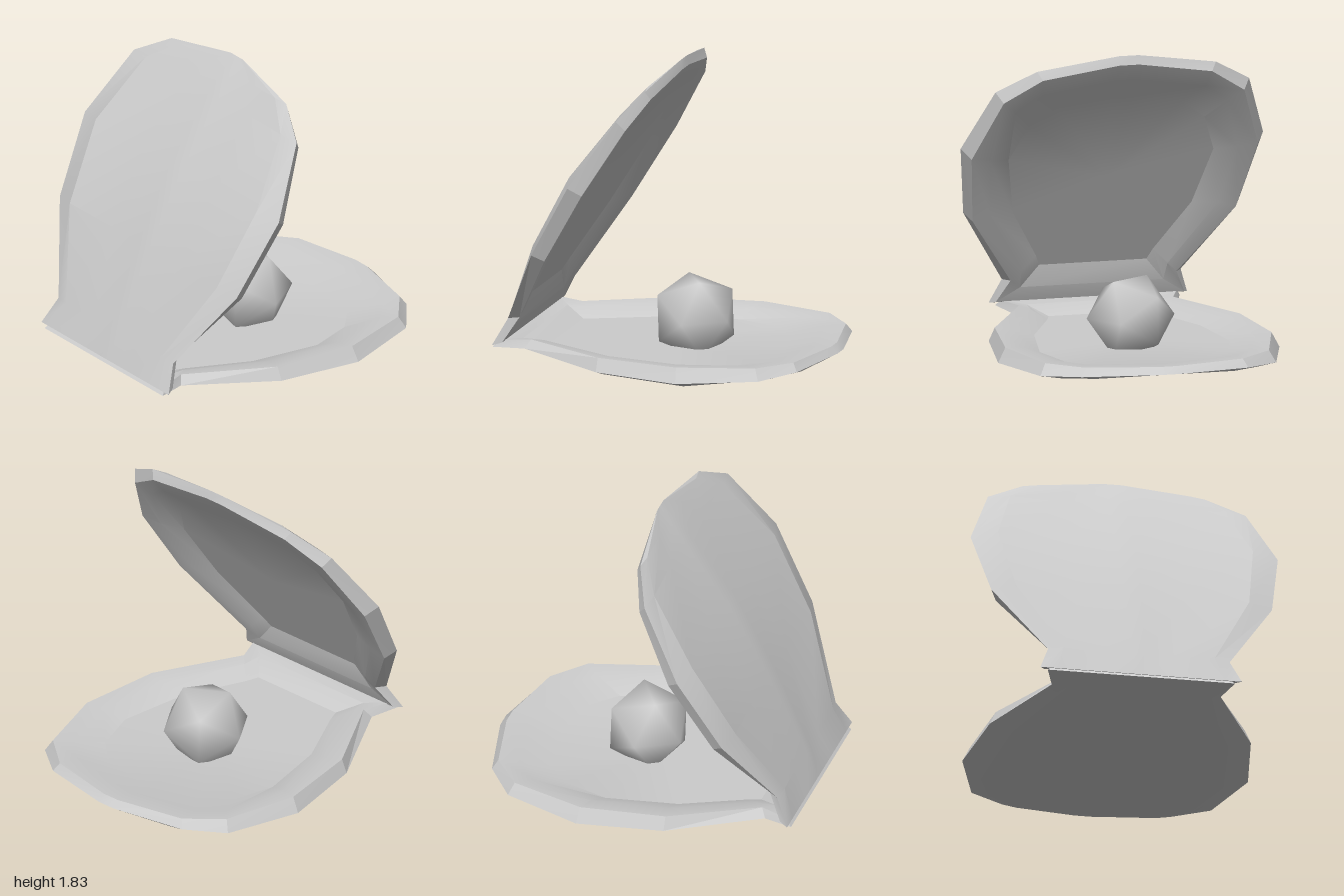
import * as THREE from 'three';
import { toCreasedNormals } from 'three/addons/utils/BufferGeometryUtils.js';

// Half outlines, hinge to tip: [distance from hinge, half width, height]
const EDGE = [[-0.02, 0.61, -0.04], [0.16, 0.55, -0.05], [0.70, 0.85, -0.08], [1.22, 0.93, -0.09],
  [1.69, 0.78, -0.07], [1.86, 0.55, -0.05], [1.96, 0.06, -0.04]];
const RIM = [[0.02, 0.58, 0], [0.19, 0.51, 0], [0.70, 0.81, 0], [1.21, 0.88, 0],
  [1.66, 0.74, 0], [1.83, 0.52, 0], [1.92, 0.06, 0]];
const LIP = [[0.12, 0.44, -0.012], [0.25, 0.45, -0.012], [0.73, 0.70, -0.012], [1.18, 0.76, -0.012],
  [1.57, 0.65, -0.012], [1.70, 0.50, -0.012], [1.78, 0.06, -0.012]];
const FLOOR = [[0.25, 0.33, -0.06], [0.33, 0.36, -0.06], [0.70, 0.55, -0.06], [1.13, 0.63, -0.06],
  [1.40, 0.54, -0.06], [1.54, 0.38, -0.06], [1.60, 0.06, -0.06]];
// Depth of the outer skin at each station, and how strongly the ribs show there
const DEPTH = [0.04, 0.07, 0.125, 0.14, 0.09, 0.065, 0.04];
const RIB = [0, 0.6, 1, 1, 0.8, 0.4, 0];

const point = (u, w, h) => new THREE.Vector3(u, h, w);

function ring(half) {
  const a = half.map(([u, w, h]) => point(u, w, h));
  const b = half.map(([u, w, h]) => point(u, -w, h)).reverse();
  return [...a, ...b];
}

function valveGeometry() {
  const pts = [];
  const quad = (a, b, c, d) => pts.push(a, b, c, a, c, d);

  // Side band, flat lip and sloping inner wall
  const rings = [EDGE, RIM, LIP, FLOOR].map(ring);
  for (let r = 0; r < rings.length - 1; r++) {
    const A = rings[r], B = rings[r + 1];
    A.forEach((p, i) => {
      const n = (i + 1) % A.length;
      quad(p, A[n], B[n], B[i]);
    });
  }

  // Inner floor
  const inner = rings[3], centre = point(0.95, 0, -0.06);
  inner.forEach((p, i) => pts.push(centre, p, inner[(i + 1) % inner.length]));

  // Ribbed outer skin
  const across = [1, 0.83, 0.37, 0.06, -0.06, -0.37, -0.83, -1];
  const lift = [0, 0, 0.025, 0.004, 0.004, 0.025, 0, 0];
  const rows = EDGE.map(([u, w, h], k) => across.map((f, j) =>
    point(u, w * f, Math.abs(f) === 1 ? h : -DEPTH[k] + lift[j] * RIB[k])));
  for (let k = 0; k < rows.length - 1; k++) {
    for (let j = 0; j < across.length - 1; j++) {
      quad(rows[k][j], rows[k][j + 1], rows[k + 1][j + 1], rows[k + 1][j]);
    }
  }
  return toCreasedNormals(new THREE.BufferGeometry().setFromPoints(pts), 0.3);
}

// Low-poly ball with smooth normals, one corner pointing to the front
function pearlGeometry() {
  const g = new THREE.IcosahedronGeometry(0.27, 0);
  g.setAttribute('normal', g.attributes.position.clone());
  g.normalizeNormals();
  g.rotateX(Math.atan2(2, 1 + Math.sqrt(5)));
  g.rotateZ(THREE.MathUtils.degToRad(20));
  return g;
}

export function createModel() {
  const model = new THREE.Group();
  model.name = 'openShell';
  const material = new THREE.MeshStandardMaterial({ color: 0xcccccc });
  const add = (name, geometry, x, y, z) => {
    const mesh = new THREE.Mesh(geometry, material);
    mesh.name = name;
    mesh.position.set(x, y, z);
    model.add(mesh);
    return mesh;
  };

  const valve = valveGeometry();

  // Lower half lies flat, slightly narrower
  add('lowerShell', valve, -0.98, 0.14, 0).scale.set(1.01, 1, 0.93);

  // Upper half is turned over and swung open about the hinge
  const lid = valve.clone().rotateX(Math.PI).rotateZ(THREE.MathUtils.degToRad(59.6));
  add('upperShell', lid, -0.945, 0.117, 0);

  add('pearl', pearlGeometry(), 0.09, 0.25, 0.01);
  return model;
}
